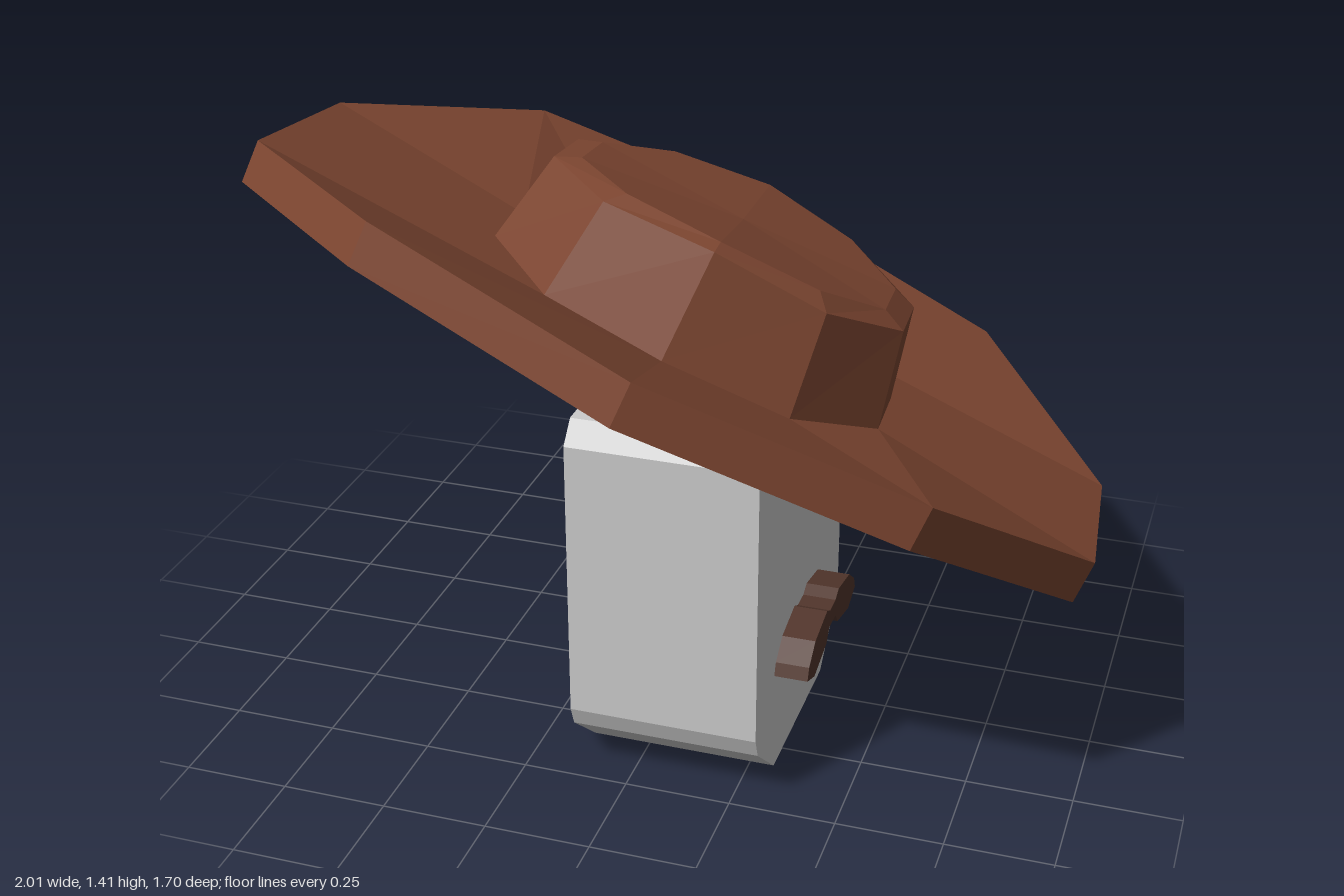
import * as THREE from 'three';

const SIDES = 10;

const material = (color) => new THREE.MeshStandardMaterial({ color, flatShading: true });

// One ten-sided ring: radii across and along, heights at the side, between and end corners
function ring(rx, rz, side, between, end) {
  return Array.from({ length: SIDES }, (_, i) => {
    const a = (i / SIDES) * Math.PI * 2;
    const h = [side, between, end, end, between][i % 5];
    return [rx * Math.sin(a), h, rz * Math.cos(a)];
  });
}

// Skin over consecutive rings, flat faceted
function loft(name, rings, mat) {
  const pos = [];
  for (let r = 0; r < rings.length - 1; r++) {
    const A = rings[r], B = rings[r + 1];
    for (let i = 0; i < SIDES; i++) {
      const j = (i + 1) % SIDES;
      pos.push(...A[i], ...A[j], ...B[j], ...A[i], ...B[j], ...B[i]);
    }
  }
  const geo = new THREE.BufferGeometry();
  geo.setAttribute('position', new THREE.Float32BufferAttribute(pos, 3));
  geo.computeVertexNormals();
  const mesh = new THREE.Mesh(geo, mat);
  mesh.name = name;
  return mesh;
}

// Mirrored half profile (z offset, y), extruded along x
function slab(name, half, depth, x, mat) {
  const mirrored = half.map(([z, y]) => [-z, y]).reverse();
  const shape = new THREE.Shape([...half, ...mirrored].map(([z, y]) => new THREE.Vector2(z, y)));
  const geo = new THREE.ExtrudeGeometry(shape, { depth, bevelEnabled: false });
  geo.rotateY(Math.PI / 2);
  const mesh = new THREE.Mesh(geo, mat);
  mesh.name = name;
  mesh.position.set(x, 0, 0.11);
  return mesh;
}

export function createModel() {
  const model = new THREE.Group();
  model.name = 'hattedFigure';
  const hatMat = material(0x7d4631);

  // Block head with chamfered corners
  model.add(slab('head',
    [[0.215, 0], [0.355, 0.12], [0.375, 0.17], [0.375, 0.85], [0.33, 0.9]],
    0.445, -0.138, material(0xcccccc)));

  // Moustache on the face
  model.add(slab('moustache',
    [[0.03, 0.285], [0.053, 0.255], [0.16, 0.23], [0.225, 0.255], [0.213, 0.285],
      [0.16, 0.325], [0.055, 0.345], [0.025, 0.33]],
    0.08, 0.306, material(0x52362c)));

  // Tilted hat: brim with turned-up sides, and a bevelled crown
  const hat = new THREE.Group();
  hat.name = 'hat';
  const crownBase = ring(0.512, 0.392, -0.088, -0.1, -0.095);
  hat.add(loft('brim', [
    ring(0, 0, -0.12, -0.12, -0.12),
    ring(1.09, 0.853, -0.098, -0.105, -0.203),
    ring(1.09, 0.853, 0.008, 0, -0.098),
    crownBase,
  ], hatMat));
  hat.add(loft('crown', [
    crownBase,
    ring(0.46, 0.355, 0.172, 0.142, 0.132),
    ring(0.4, 0.315, 0.187, 0.172, 0.155),
    ring(0, 0, 0.168, 0.168, 0.168),
  ], hatMat));

  // Hat axes: up, towards the turned-up side, and along the length
  const up = new THREE.Vector3(0.369, 0.91, -0.18).normalize();
  const along = up.clone().cross(new THREE.Vector3(0.101, 0.15, 0.983)).normalize();
  const across = along.clone().cross(up);
  hat.quaternion.setFromRotationMatrix(new THREE.Matrix4().makeBasis(along, up, across));
  hat.position.set(0.05, 1.063, -0.008);
  model.add(hat);

  return model;
}
